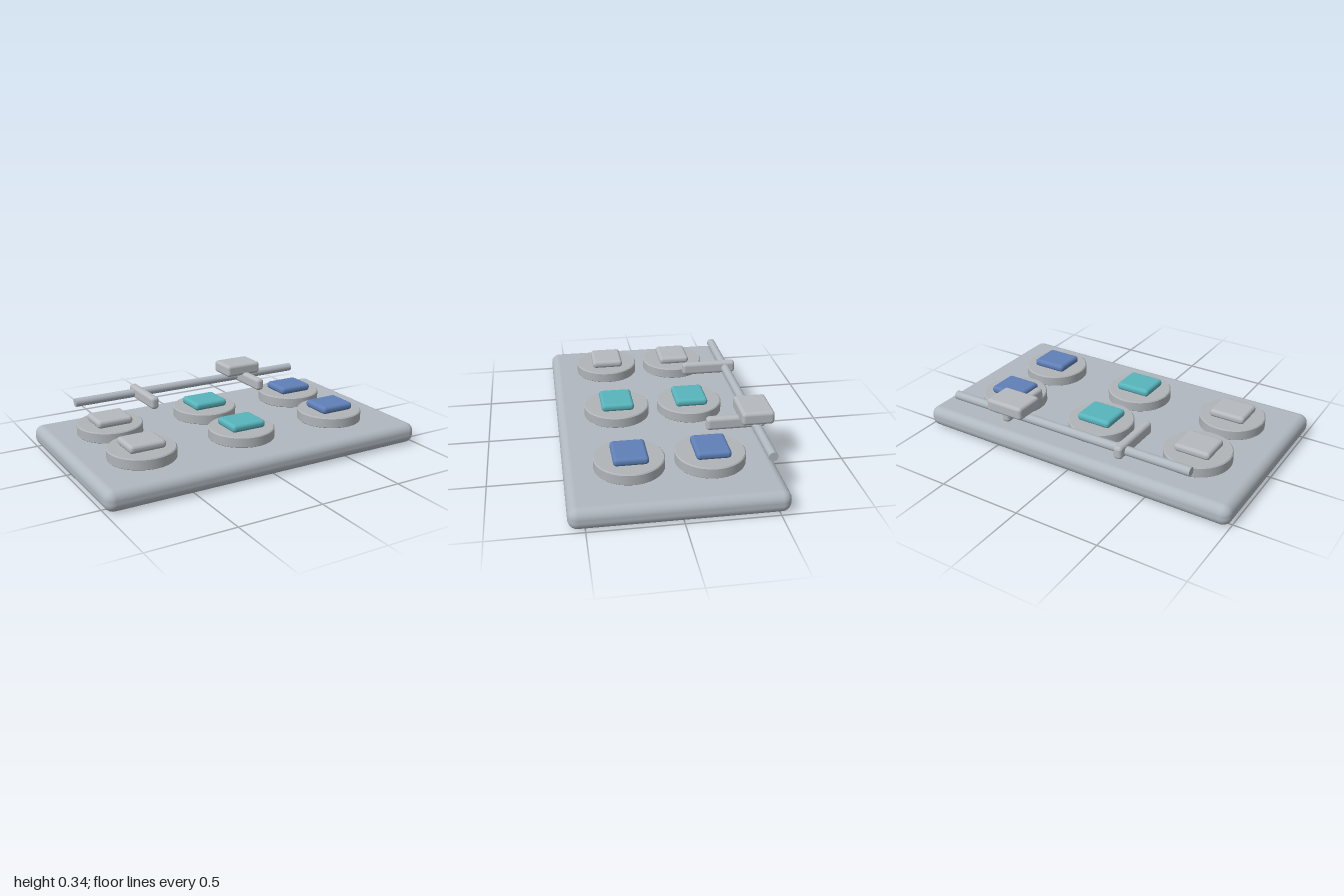
import * as THREE from 'three';
import { RoundedBoxGeometry } from 'three/addons/geometries/RoundedBoxGeometry.js';

const mat = (name, color) => {
  const m = new THREE.MeshStandardMaterial({ color });
  m.name = name;
  return m;
};

export function createModel() {
  const model = new THREE.Group();
  model.name = 'controlBoard';
  const bodyGrey = mat('bodyGrey', 0xb0b8c0);
  const dialGrey = mat('dialGrey', 0xb0b4b8);
  const paleGrey = mat('paleGrey', 0xb6babf);
  const teal = mat('teal', 0x58b4bc);
  const blue = mat('blue', 0x5f80b8);

  const add = (name, geometry, material, x, y, z) => {
    const mesh = new THREE.Mesh(geometry, material);
    mesh.name = name;
    mesh.position.set(x, y, z);
    model.add(mesh);
    return mesh;
  };

  // Thick slab with rounded edges
  add('base', new RoundedBoxGeometry(2, 0.122, 1.148, 5, 0.052), bodyGrey, 0, 0.061, 0.013);

  // Round pedestals: a short drum with a small bevel top and bottom
  const r = 0.192, h = 0.066, b = 0.006;
  const profile = [[0, 0], [r - b, 0], [r - b, 0], [r, b], [r, b], [r, h - b], [r, h - b], [r - b, h], [r - b, h], [0, h]]
    .map(([x, y]) => new THREE.Vector2(x, y));
  const drum = new THREE.LatheGeometry(profile, 64);
  const button = new RoundedBoxGeometry(0.215, 0.046, 0.19, 5, 0.02);

  // Two rows of three pedestals, each column with its own button colour
  const columns = [[-0.648, paleGrey], [-0.02, teal], [0.606, blue]];
  for (const z of [0.234, -0.206]) {
    for (const [x, colour] of columns) {
      add('pedestal', drum, dialGrey, x, 0.119, z);
      add('button', button, colour, x, 0.207, z);
    }
  }

  // Long rod across the back
  const rod = new THREE.CylinderGeometry(0.026, 0.026, 1.56, 32);
  add('rod', rod, bodyGrey, 0.03, 0.234, -0.496).rotation.z = Math.PI / 2;

  // Two arms gripping the rod
  const arm = new RoundedBoxGeometry(0.052, 0.076, 0.337, 5, 0.02);
  for (const x of [-0.342, 0.404]) add('arm', arm, paleGrey, x, 0.239, -0.3915);

  // Block resting on the right-hand arm
  add('block', new RoundedBoxGeometry(0.242, 0.077, 0.184, 5, 0.02), paleGrey, 0.389, 0.297, -0.495);

  return model;
}
